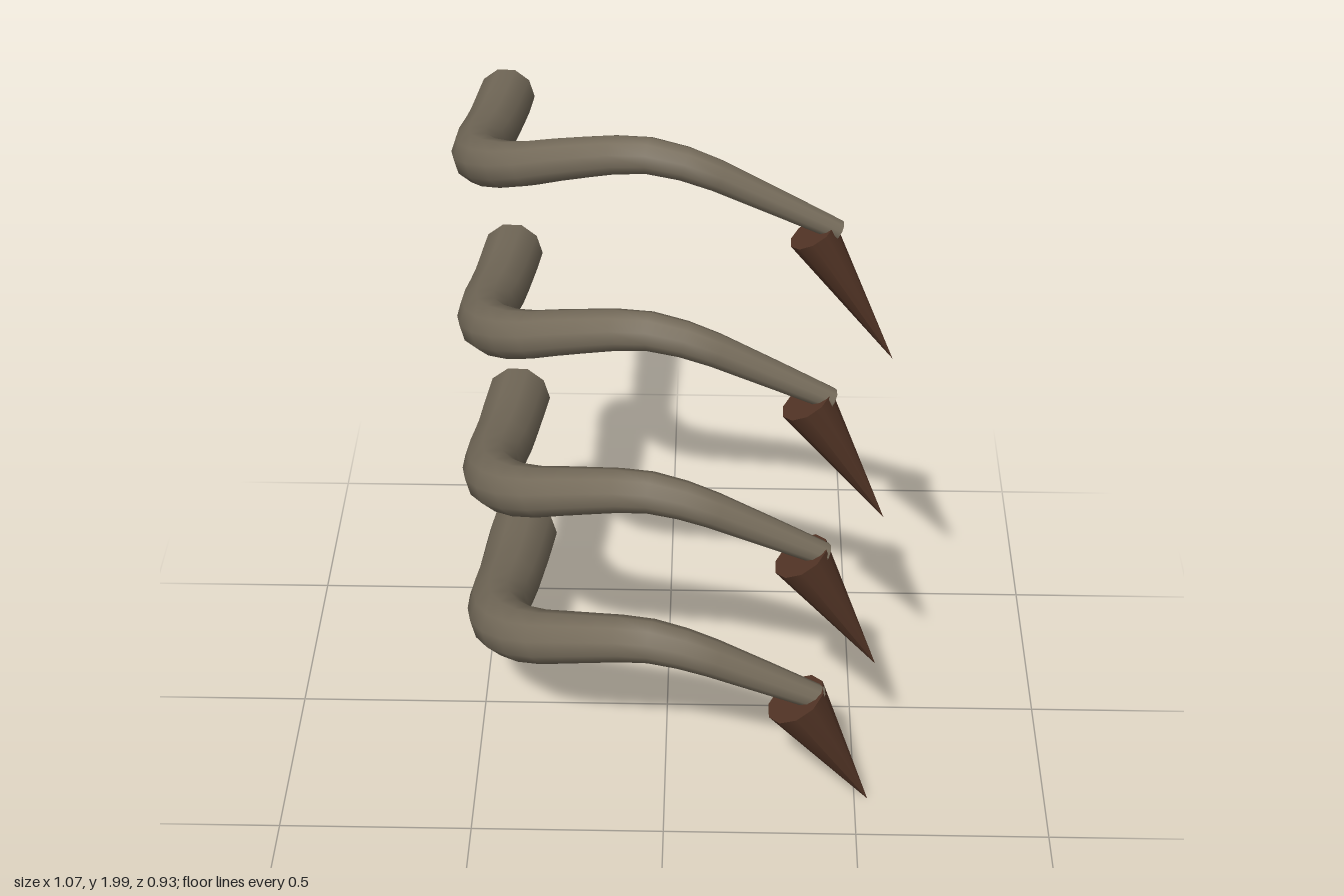
import * as THREE from 'three';

const hide = new THREE.MeshStandardMaterial({ color: 0x776d5c });
hide.name = 'greyTan';
const horn = new THREE.MeshStandardMaterial({ color: 0x533526 });
horn.name = 'darkBrown';

const RINGS = 20, SIDES = 10, SPACING = 0.465;

// Centre line of one limb, from the root at the back to the tip at the front left
const path = new THREE.CatmullRomCurve3([
  [-0.418, 0.25, -0.45], [-0.435, 0.295, -0.2], [-0.452, 0.345, 0], [-0.43, 0.39, 0.13],
  [-0.35, 0.445, 0.245], [-0.2, 0.515, 0.335], [-0.04, 0.558, 0.395],
  [0.07, 0.538, 0.41], [0.2, 0.468, 0.395], [0.395, 0.352, 0.365],
].map(p => new THREE.Vector3(...p)));

const limbRadius = (u, k) => (0.095 - 0.062 * Math.pow(u, 1.35)) * k;

// Tube whose rings are scaled toward the centre line to taper it
function taperedTube(k) {
  const geo = new THREE.TubeGeometry(path, RINGS, 1, SIDES, false);
  const pos = geo.attributes.position;
  const v = new THREE.Vector3();
  for (let i = 0; i <= RINGS; i++) {
    const u = i / RINGS, c = path.getPointAt(u);
    for (let j = 0; j <= SIDES; j++) {
      const n = i * (SIDES + 1) + j;
      v.fromBufferAttribute(pos, n).sub(c).multiplyScalar(limbRadius(u, k)).add(c);
      pos.setXYZ(n, v.x, v.y, v.z);
    }
  }
  return geo;
}

// Flat fan closing one end of the tube, sharing its ring corners
function endCap(tube, ring) {
  const c = path.getPointAt(ring / RINGS), pos = tube.attributes.position;
  const corner = j => {
    const n = ring * (SIDES + 1) + j;
    return [pos.getX(n), pos.getY(n), pos.getZ(n)];
  };
  const pts = [];
  for (let j = 0; j < SIDES; j++) {
    const [a, b] = [corner(j), corner(j + 1)];
    // Wind each triangle so that it faces out of the tube
    const t = path.getTangentAt(ring / RINGS).multiplyScalar(ring ? 1 : -1);
    const va = new THREE.Vector3(...a).sub(c), vb = new THREE.Vector3(...b).sub(c);
    const out = va.cross(vb).dot(t) > 0;
    pts.push(c.x, c.y, c.z, ...(out ? a : b), ...(out ? b : a));
  }
  const geo = new THREE.BufferGeometry();
  geo.setAttribute('position', new THREE.Float32BufferAttribute(pts, 3));
  geo.computeVertexNormals();
  return geo;
}

// Pointed claw from its base centre to its tip
function clawMesh(k) {
  const base = new THREE.Vector3(0.337, 0.345, 0.365);
  const tip = new THREE.Vector3(0.535, 0.003, 0.365);
  const axis = tip.clone().sub(base);
  const mesh = new THREE.Mesh(new THREE.ConeGeometry(0.083 * k, axis.length(), SIDES), horn);
  mesh.quaternion.setFromUnitVectors(new THREE.Vector3(0, 1, 0), axis.clone().normalize());
  mesh.position.copy(base).add(tip).multiplyScalar(0.5);
  mesh.name = 'claw';
  return mesh;
}

function add(group, geo, material, name) {
  const mesh = new THREE.Mesh(geo, material);
  mesh.name = name;
  group.add(mesh);
}

export function createModel() {
  const model = new THREE.Group();
  model.name = 'clawedLimbs';
  // Four stacked limbs, each slimmer than the one below
  for (let i = 0; i < 4; i++) {
    const limb = new THREE.Group();
    limb.name = 'limb' + (i + 1);
    const tube = taperedTube(1 - 0.083 * i);
    add(limb, tube, hide, 'arm');
    add(limb, endCap(tube, 0), hide, 'rootCap');
    add(limb, endCap(tube, RINGS), hide, 'tipCap');
    limb.add(clawMesh(1 - 0.1 * i));
    limb.position.y = i * SPACING;
    model.add(limb);
  }
  return model;
}
